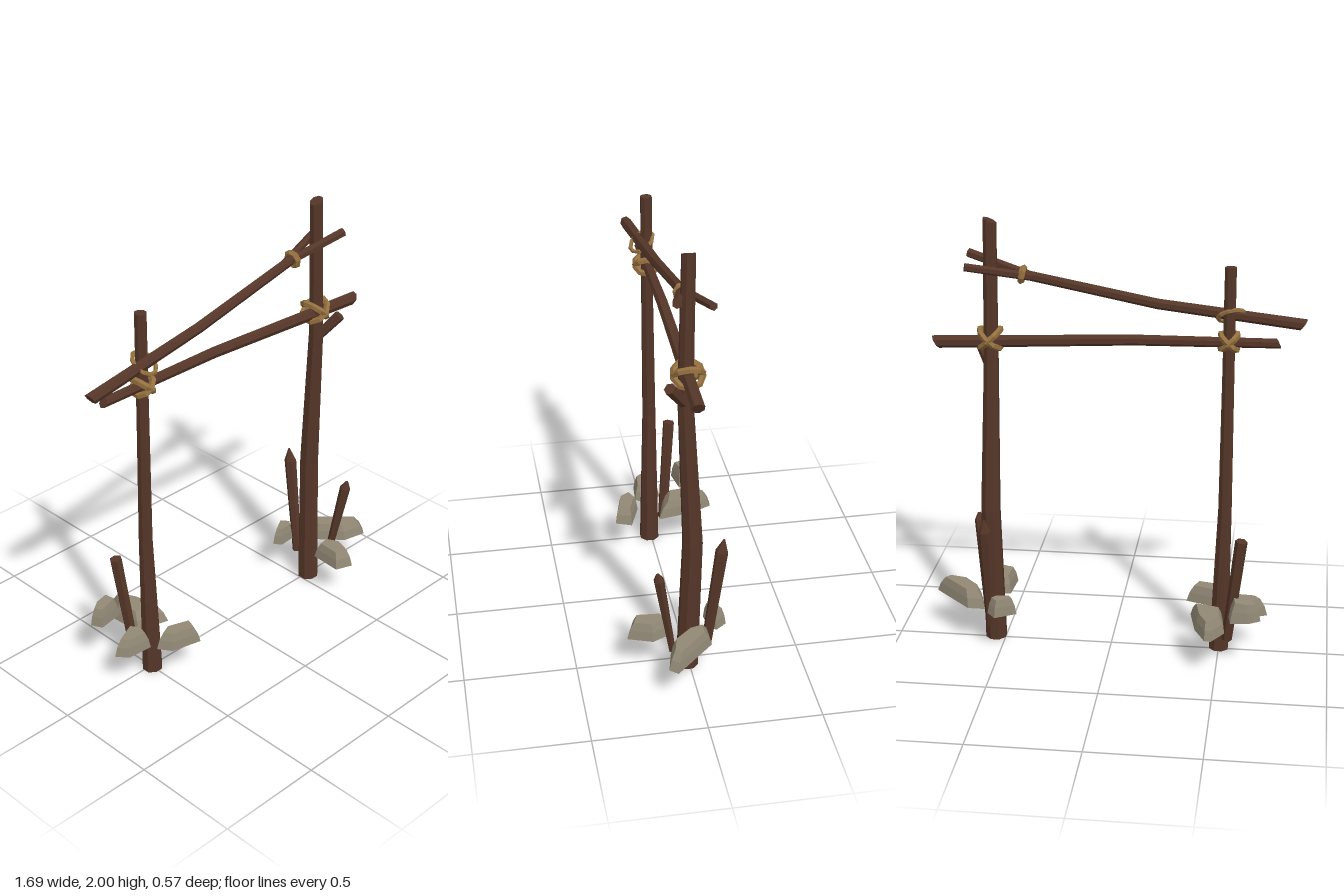
import * as THREE from 'three';

const V = (x, y, z) => new THREE.Vector3(x, y, z);

// Closed, faceted skin through rings that run counterclockwise about their direction of travel
function loft(rings) {
  const n = rings[0].length, pos = [], idx = [];
  for (const ring of rings) for (const p of ring) pos.push(p.x, p.y, p.z);
  const ends = [rings[0], rings[rings.length - 1]];
  for (const ring of ends) {
    const c = ring.reduce((s, p) => s.add(p), V(0, 0, 0)).divideScalar(n);
    pos.push(c.x, c.y, c.z);
  }
  const last = (rings.length - 1) * n, c0 = rings.length * n;
  for (let j = 0; j < n; j++) {
    const k = (j + 1) % n;
    for (let i = 0; i < last; i += n) idx.push(i + j, i + k, i + n + k, i + j, i + n + k, i + n + j);
    idx.push(c0, k, j, c0 + 1, last + j, last + k);
  }
  const g = new THREE.BufferGeometry();
  g.setAttribute('position', new THREE.Float32BufferAttribute(pos, 3));
  g.setIndex(idx);
  const flat = g.toNonIndexed();
  flat.computeVertexNormals();
  return flat;
}

// Rough pole through stations [x, y, z, radius]; slants tilt the sawn ends
function poleGeometry(stations, sides = 7, slantStart = 0, slantEnd = 0) {
  const pts = stations.map(s => V(s[0], s[1], s[2]));
  const end = pts.length - 1;
  const axis = pts[end].clone().sub(pts[0]).normalize();
  const ref = Math.abs(axis.y) > 0.7 ? V(1, 0, 0) : V(0, 1, 0);
  return loft(pts.map((p, i) => {
    const t = pts[Math.min(i + 1, end)].clone().sub(pts[Math.max(i - 1, 0)]).normalize();
    const u = ref.clone().cross(t).normalize();
    const v = t.clone().cross(u);
    const slant = i === 0 ? slantStart : i === end ? slantEnd : 0;
    return Array.from({ length: sides }, (_, j) => {
      const a = (j + 0.5) / sides * Math.PI * 2, r = stations[i][3];
      return p.clone().addScaledVector(u, r * Math.cos(a)).addScaledVector(v, r * Math.sin(a))
        .addScaledVector(t, slant * r * Math.sin(a));
    });
  }));
}

// Stone from an outline [x, z], clockwise from above, narrowing to its top; lean tips the top
function stoneGeometry(outline, y0, y1, lean = 0) {
  const pts = outline.slice().reverse();
  const cx = pts.reduce((s, p) => s + p[0], 0) / pts.length;
  const cz = pts.reduce((s, p) => s + p[1], 0) / pts.length;
  const ring = (y, k, tip) => pts.map(([x, z]) =>
    V(cx + (x - cx) * k, y + (x - cx) * tip, cz + (z - cz) * k));
  return loft([ring(y0, 1, 0), ring(y0 + (y1 - y0) * 0.55, 0.88, lean / 2), ring(y1, 0.68, lean)]);
}

// Faceted rope loop around a given axis
function loopGeometry(center, axis, radius, tube, segments = 9) {
  const g = new THREE.TorusGeometry(radius, tube, 5, segments).toNonIndexed();
  g.applyQuaternion(new THREE.Quaternion().setFromUnitVectors(V(0, 0, 1), axis.clone().normalize()));
  g.translate(center.x, center.y, center.z);
  g.computeVertexNormals();
  return g;
}

export function createModel() {
  const material = (name, color) => {
    const m = new THREE.MeshStandardMaterial({ color, flatShading: true });
    m.name = name;
    return m;
  };
  const wood = material('dark wood', 0x553628);
  const rope = material('rope', 0x94703f);
  const stone = material('stone', 0x918875);

  const model = new THREE.Group();
  model.name = 'woodenGateFrame';
  const add = (name, geometry, mat) => {
    const mesh = new THREE.Mesh(geometry, mat);
    mesh.name = name;
    model.add(mesh);
  };

  // Upright posts
  add('rightPost', poleGeometry([
    [-0.5, 0, 0.01, 0.047], [-0.515, 0.7, 0.005, 0.032],
    [-0.515, 1.35, 0.01, 0.028], [-0.515, 1.81, 0.012, 0.027]], 8), wood);
  add('leftPost', poleGeometry([
    [0.545, 0, 0.01, 0.05], [0.553, 0.65, -0.01, 0.045], [0.54, 1.35, 0.022, 0.034],
    [0.53, 2 - 0.012, 0.01, 0.03]], 8, 0, 0.4), wood);

  // Lower crossbar, and upper crossbar with its forked end
  add('lowerCrossbar', poleGeometry([
    [-0.73, 1.478, 0.012, 0.022], [-0.1, 1.473, 0.008, 0.025], [0.787, 1.432, 0.015, 0.029]],
    7, 0.5, 0.5), wood);
  add('upperCrossbar', poleGeometry([
    [-0.835, 1.553, 0.058, 0.027], [-0.2, 1.635, 0.025, 0.024], [0.4, 1.757, 0.005, 0.022]],
    7, -0.5, 0), wood);
  add('frontFork', poleGeometry([[0.35, 1.748, 0.005, 0.02], [0.64, 1.826, 0.075, 0.021]], 6), wood);
  add('backFork', poleGeometry([[0.35, 1.745, 0.0, 0.019], [0.63, 1.797, -0.073, 0.018]], 6), wood);

  // Sawn branch below the lower crossbar
  add('branchStub', poleGeometry([[0.54, 1.31, 0.015, 0.022], [0.61, 1.435, 0.1, 0.026]], 6), wood);

  // Stakes driven in beside the posts
  add('rightStake', poleGeometry([[-0.54, 0.08, -0.065, 0.024], [-0.597, 0.588, -0.105, 0.028]], 6), wood);
  add('leftBackStake', poleGeometry([
    [0.555, 0.1, -0.075, 0.022], [0.56, 0.59, -0.138, 0.029], [0.56, 0.65, -0.148, 0.004]], 6), wood);
  add('leftFrontStake', poleGeometry([
    [0.6, 0.12, 0.085, 0.016], [0.638, 0.525, 0.15, 0.025], [0.642, 0.56, 0.157, 0.007]], 6), wood);

  // Crossed lashings where the lower crossbar meets the posts
  for (const [name, c, r] of [
    ['rightLashing', V(-0.515, 1.478, 0.015), 0.05],
    ['leftLashing', V(0.54, 1.457, 0.012), 0.062]]) {
    for (const s of [-1, 1]) add(name, loopGeometry(c, V(s, 1.1, 0), r, 0.015), rope);
  }
  // Loose loop and fork binding on the upper crossbar
  add('upperLoop', loopGeometry(V(-0.52, 1.59, 0.033), V(0.25, 0.78, 0.55), 0.06, 0.01, 10), rope);
  add('forkBinding', loopGeometry(V(0.39, 1.753, 0.005), V(1, 0.2, -0.03), 0.031, 0.015, 8), rope);

  // Stones packed around the post feet
  const low = 0.175, high = 0.255;
  const stones = [
    [[[-0.48, -0.29], [-0.45, -0.285], [-0.4, -0.18], [-0.37, -0.02], [-0.52, -0.06], [-0.535, -0.2]], low, high, 0],
    [[[-0.55, 0.1], [-0.48, 0.07], [-0.34, 0.12], [-0.37, 0.195], [-0.51, 0.16]], low, high, 0],
    [[[-0.695, -0.18], [-0.64, -0.215], [-0.56, -0.22], [-0.55, -0.15], [-0.67, -0.13]], 0.235, 0.325, 0.12],
    [[[-0.72, 0.01], [-0.58, -0.055], [-0.54, 0], [-0.56, 0.07], [-0.68, 0.06]], low, high, 0],
    [[[0.49, 0.1], [0.56, 0.09], [0.6, 0.17], [0.56, 0.28], [0.48, 0.25]], low, high, 0],
    [[[0.58, -0.08], [0.66, -0.08], [0.84, 0.1], [0.81, 0.135], [0.7, 0.11], [0.6, 0]], low, high, 0],
    [[[0.425, -0.115], [0.52, -0.17], [0.56, -0.12], [0.53, -0.085], [0.45, -0.08]], low, high, 0]];
  for (const s of stones) add('footStone', stoneGeometry(...s), stone);

  return model;
}
